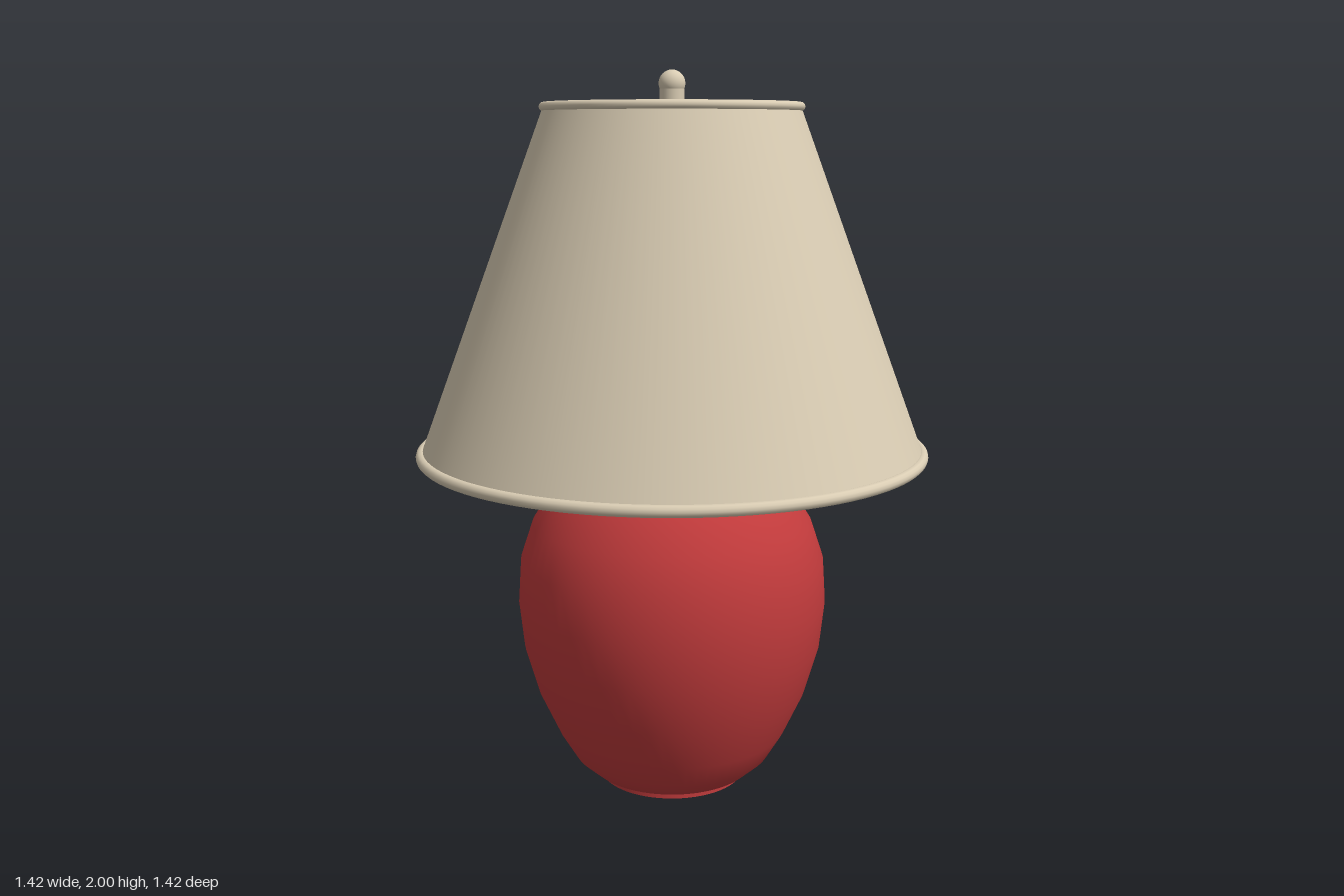
import * as THREE from 'three';

export function createModel() {
  const lamp = new THREE.Group();
  lamp.name = 'tableLamp';

  const cream = new THREE.MeshStandardMaterial({ color: 0xd9ccb3, side: THREE.DoubleSide });
  cream.name = 'cream fabric';
  const red = new THREE.MeshStandardMaterial({ color: 0xc23b3c });
  red.name = 'red glaze';

  const add = (name, geometry, material, y = 0) => {
    const mesh = new THREE.Mesh(geometry, material);
    mesh.name = name;
    mesh.position.y = y;
    lamp.add(mesh);
    return mesh;
  };
  // profile points are [radius, height], listed from bottom to top
  const lathe = (points, segments = 64) =>
    new THREE.LatheGeometry(points.map(([r, y]) => new THREE.Vector2(r, y)), segments);

  // Round ceramic body, closed at the top
  add('body', lathe([
    [0.2, 0.013], [0.235, 0.025], [0.285, 0.07], [0.33, 0.145], [0.385, 0.265],
    [0.424, 0.4], [0.438, 0.53], [0.43, 0.655], [0.395, 0.76], [0.335, 0.855],
    [0.26, 0.915], [0.19, 0.95], [0.1, 0.995], [0, 1.005],
  ]), red);
  add('foot', new THREE.CylinderGeometry(0.208, 0.208, 0.02, 64), red, 0.01);

  // Tapered shade with a rolled rim at each end
  add('shade', lathe([[0.698, 0.965], [0.345, 1.905]], 96), cream);
  for (const [name, radius, tube, y] of [
    ['bottomRim', 0.696, 0.016, 0.965],
    ['topRim', 0.345, 0.012, 1.903],
  ]) {
    add(name, new THREE.TorusGeometry(radius, tube, 12, 96).rotateX(Math.PI / 2), cream, y);
  }

  // Plate inside the top opening, with the finial on it
  add('topPlate', new THREE.CylinderGeometry(0.326, 0.326, 0.012, 64), cream, 1.894);
  add('finialStem', new THREE.CylinderGeometry(0.033, 0.033, 0.07, 32), cream, 1.93);
  add('finialBall', new THREE.SphereGeometry(0.036, 32, 16), cream, 1.964);

  return lamp;
}
